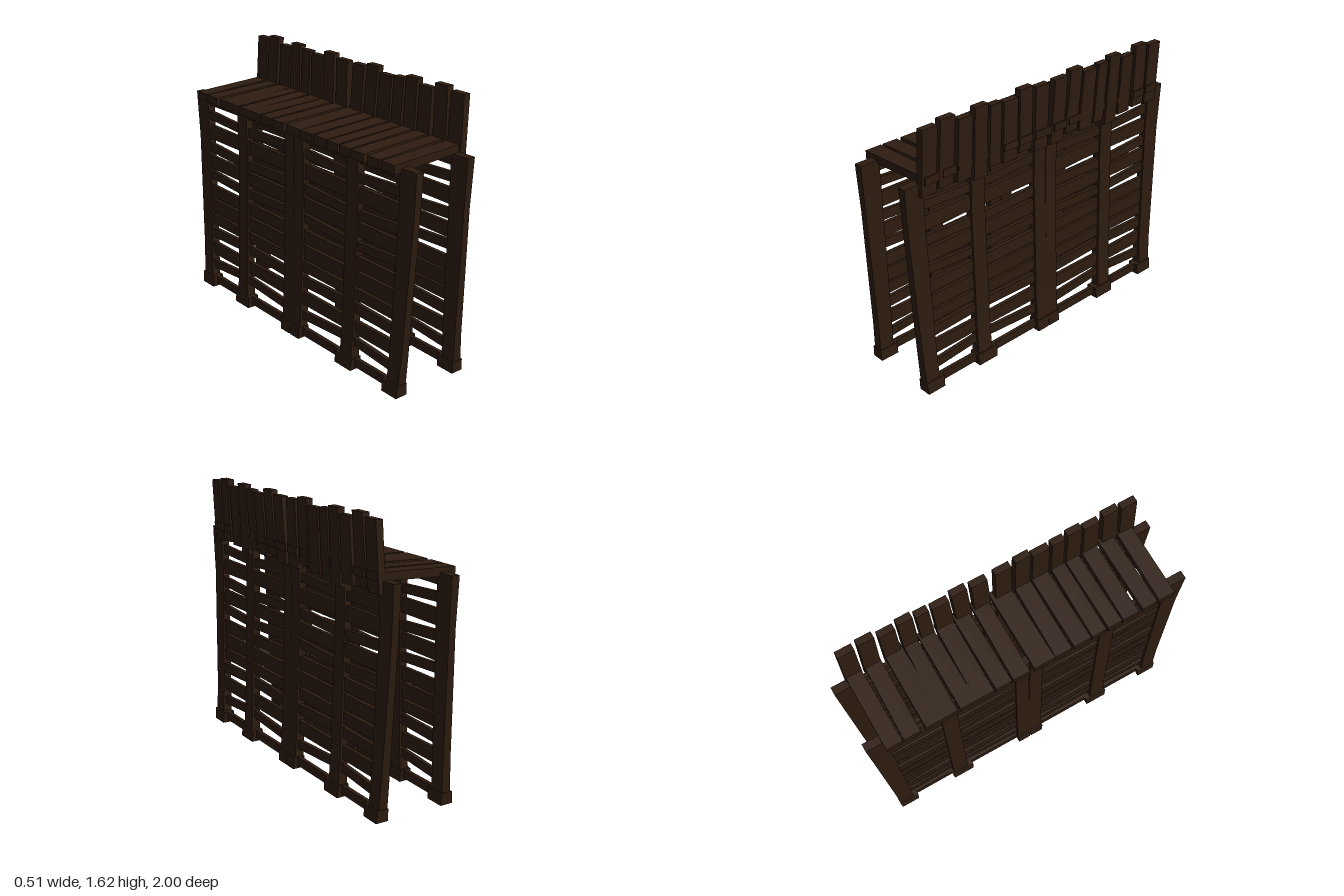
import * as THREE from 'three';

const wood = new THREE.MeshStandardMaterial({ color: 0x2e1c10, flatShading: true });

// Timber lofted along one axis; each section is [x, y, z, sizeA, sizeB],
// the sizes being those across the axis, in x, y, z order.
function timber(name, axis, sections) {
  const n = sections.length - 1;
  const segs = [1, 1, 1];
  segs[axis] = n;
  const geo = new THREE.BoxGeometry(1, 1, 1, ...segs);
  const pos = geo.attributes.position;
  const across = [0, 1, 2].filter((a) => a !== axis);
  for (let i = 0; i < pos.count; i++) {
    const p = [pos.getX(i), pos.getY(i), pos.getZ(i)];
    const s = sections[Math.round((p[axis] + 0.5) * n)];
    const q = [s[0], s[1], s[2]];
    across.forEach((a, k) => { q[a] += p[a] * s[3 + k]; });
    pos.setXYZ(i, ...q);
  }
  geo.computeVertexNormals();
  const mesh = new THREE.Mesh(geo, wood);
  mesh.name = name;
  return mesh;
}

// Distance of a wall from the middle at height y: walls splay out at the foot.
function wallX(y) {
  if (y < 0.25) return 0.212 - (y / 0.25) * 0.012;
  if (y < 1) return 0.2 - ((y - 0.25) / 0.75) * 0.018;
  return 0.181;
}

// [bottom z, top z, bottom width, top width, top y, foot z, foot width]
const posts = [
  [0.897, 0.94, 0.09, 0.12, 1.29, 0.887, 0.125],
  [0.507, 0.51, 0.1, 0.095, 1.27, 0.497, 0.145],
  [0.042, 0.045, 0.088, 0.085, 1.29, 0.045, 0.09],
];

// [height, board width, rise at the middle post]
const slats = [
  [0.045, 0.055, 0], [0.145, 0.055, 0.03], [0.26, 0.085, 0], [0.365, 0.065, 0.015],
  [0.463, 0.07, 0], [0.555, 0.09, 0], [0.652, 0.08, 0], [0.765, 0.055, -0.02],
  [0.847, 0.085, 0], [0.945, 0.06, -0.02], [1.045, 0.09, 0], [1.155, 0.055, -0.018],
  [1.25, 0.06, 0],
];

function buildWall(side) {
  const wall = new THREE.Group();
  wall.name = side > 0 ? 'leftWall' : 'rightWall';
  for (const s of [1, -1]) {
    // Posts on block feet
    for (const [z0, z1, w0, w1, top, footZ, footW] of posts) {
      const ys = [0.03, 0.25, 1, top];
      wall.add(timber('post', 1, ys.map((y, i) => {
        const t = y / top;
        const depth = [0.058, 0.05, 0.042, 0.05][i];
        return [side * wallX(y), y, s * (z0 + (z1 - z0) * t), depth, w0 + (w1 - w0) * t];
      })));
      wall.add(timber('foot', 1, [
        [side * 0.213, 0, s * footZ, 0.077, footW - 0.008],
        [side * 0.211, 0.072, s * footZ, 0.068, footW],
      ]));
    }
    // Horizontal boards, some bowed at the middle post
    for (const [y, h, bow] of slats) {
      const x = side * wallX(y);
      wall.add(timber('wallBoard', 2, [-1, 0, 1].map((k) => {
        const z = s > 0 ? [0.03, 0.51, 0.905][k + 1] : -[0.905, 0.51, 0.03][k + 1];
        return [x, y + (k === 0 ? bow : 0), z, 0.024, h - (k === 0 ? 0.004 : 0)];
      })));
    }
  }
  return wall;
}

// Deck planks: [z, width, far end x]
const deckPlanks = [
  [-0.857, 0.098, 0.24], [-0.745, 0.1, 0.245], [-0.612, 0.115, 0.235], [-0.515, 0.088, 0.235],
  [-0.412, 0.098, 0.23], [-0.305, 0.11, 0.235], [-0.195, 0.098, 0.24], [-0.08, 0.103, 0.245],
  [0.058, 0.13, 0.245], [0.182, 0.103, 0.24], [0.297, 0.108, 0.24], [0.408, 0.09, 0.23],
  [0.505, 0.088, 0.235], [0.612, 0.1, 0.235], [0.73, 0.095, 0.24], [0.845, 0.1, 0.245],
];

// Parapet boards: [bottom z, top z, width, bottom y, top y]
const parapetBoards = [
  [0.862, 0.855, 0.1, 1.22, 1.6], [0.75, 0.737, 0.098, 1.23, 1.62],
  [0.622, 0.62, 0.098, 1.22, 1.585], [0.51, 0.512, 0.092, 1.19, 1.615],
  [0.405, 0.412, 0.08, 1.23, 1.595], [0.295, 0.305, 0.105, 1.22, 1.585],
  [0.18, 0.193, 0.095, 1.24, 1.62], [0.063, 0.073, 0.1, 1.21, 1.6],
];

export function createModel() {
  const model = new THREE.Group();
  model.name = 'woodenRampart';
  model.add(buildWall(1), buildWall(-1));

  // Walkway, rising gently towards the parapet
  const deck = new THREE.Group();
  deck.name = 'deck';
  deckPlanks.forEach(([z, w, end], i) => {
    const skew = (i % 2 ? 1 : -1) * 0.003;
    deck.add(timber('deckPlank', 0, [
      [-0.255, 1.289, z - skew, 0.05, w],
      [end, 1.312, z + skew, 0.044, w * 0.94],
    ]));
  });
  model.add(deck);

  // Uneven upright boards on the outer edge
  const parapet = new THREE.Group();
  parapet.name = 'parapet';
  for (const s of [1, -1]) {
    for (const [z0, z1, w, y0, y1] of parapetBoards) {
      parapet.add(timber('parapetBoard', 1, [
        [0.209, y0, s * z0, 0.04, w],
        [0.229, y1, s * z1, 0.042, w * 0.97],
      ]));
    }
  }
  model.add(parapet);
  return model;
}
